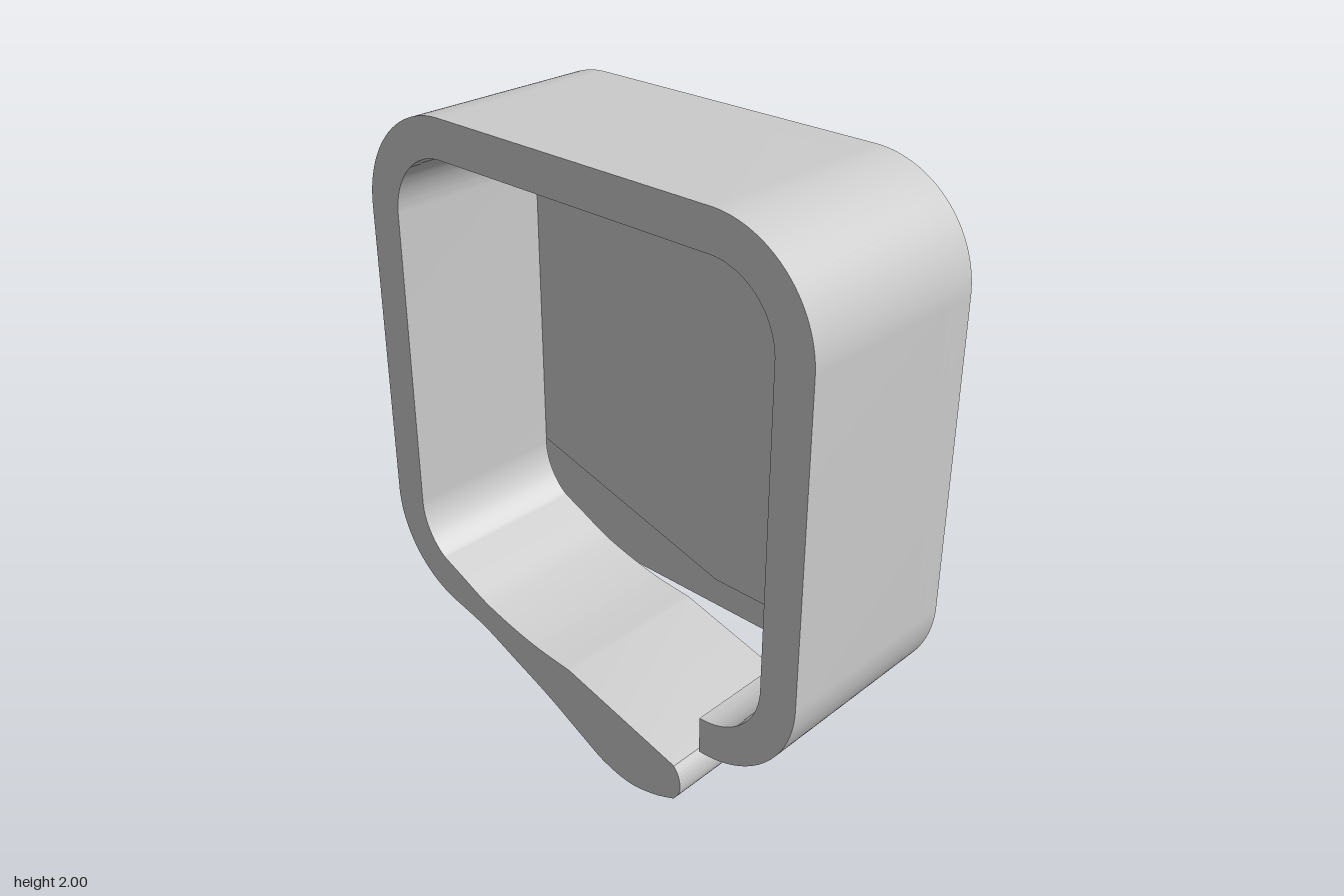
import * as THREE from 'three';
import { toCreasedNormals } from 'three/addons/utils/BufferGeometryUtils.js';

const CX = 0.515, TOP = 1.655, BOTTOM = 0.645; // corner arc centres
const OUTER = 0.345, INNER = 0.22;             // corner radii
const BACK = -0.335, RECESS = -0.265, FLOOR = -0.23, FRONT = 0.335;
const rad = THREE.MathUtils.degToRad;
const points = (list) => list.map(([x, y]) => new THREE.Vector2(x, y));

// Counter-clockwise outline from the bottom right corner round to the bottom left one
function outerPath(endAngle) {
  const s = new THREE.Shape();
  s.absarc(CX, BOTTOM, OUTER, rad(-90), 0, false);
  s.absarc(CX, TOP, OUTER, 0, rad(90), false);
  s.absarc(-CX, TOP, OUTER, rad(90), rad(180), false);
  s.absarc(-CX, BOTTOM, OUTER, rad(180), rad(endAngle), false);
  return s;
}

function slab(name, shape, z0, z1, material) {
  const geometry = new THREE.ExtrudeGeometry(shape, { depth: z1 - z0, bevelEnabled: false, curveSegments: 20 });
  geometry.translate(0, 0, z0);
  const mesh = new THREE.Mesh(toCreasedNormals(geometry, rad(28)), material);
  mesh.name = name;
  return mesh;
}

export function createModel() {
  const group = new THREE.Group();
  group.name = 'clipHousing';
  const material = new THREE.MeshStandardMaterial({ color: 0xcccccc });

  // Full rounded back plate
  group.add(slab('backPlate', outerPath(270), BACK, RECESS, material));

  // Raised floor, cut away below the slanted line to free the lever
  const floor = outerPath(180);
  floor.lineTo(-0.86, 0.695);
  floor.lineTo(0.08, 0.43);
  floor.lineTo(CX, 0.43);
  floor.closePath();
  group.add(slab('raisedFloor', floor, RECESS, FLOOR, material));

  // Rim wall that runs on into the springy thumb lever
  const wall = outerPath(259);
  wall.splineThru(points([[-0.45, 0.272], [-0.31, 0.215], [-0.14, 0.143], [0.01, 0.068],
    [0.11, 0.021], [0.22, 0], [0.325, 0.017], [0.415, 0.053]]));
  wall.splineThru(points([[0.436, 0.085], [0.441, 0.118], [0.434, 0.153], [0.415, 0.183]]));
  wall.lineTo(-0.04, 0.304);
  wall.splineThru(points([[-0.22, 0.322], [-0.415, 0.368], [-0.55, 0.425], [-0.641, 0.465]]));
  wall.absarc(-CX, BOTTOM, INNER, rad(235), rad(180), true);
  wall.absarc(-CX, TOP, INNER, rad(180), rad(90), true);
  wall.absarc(CX, TOP, INNER, rad(90), 0, true);
  wall.absarc(CX, BOTTOM, INNER, 0, rad(-90), true);
  wall.closePath();
  group.add(slab('rimWithLever', wall, FLOOR, FRONT, material));

  return group;
}
